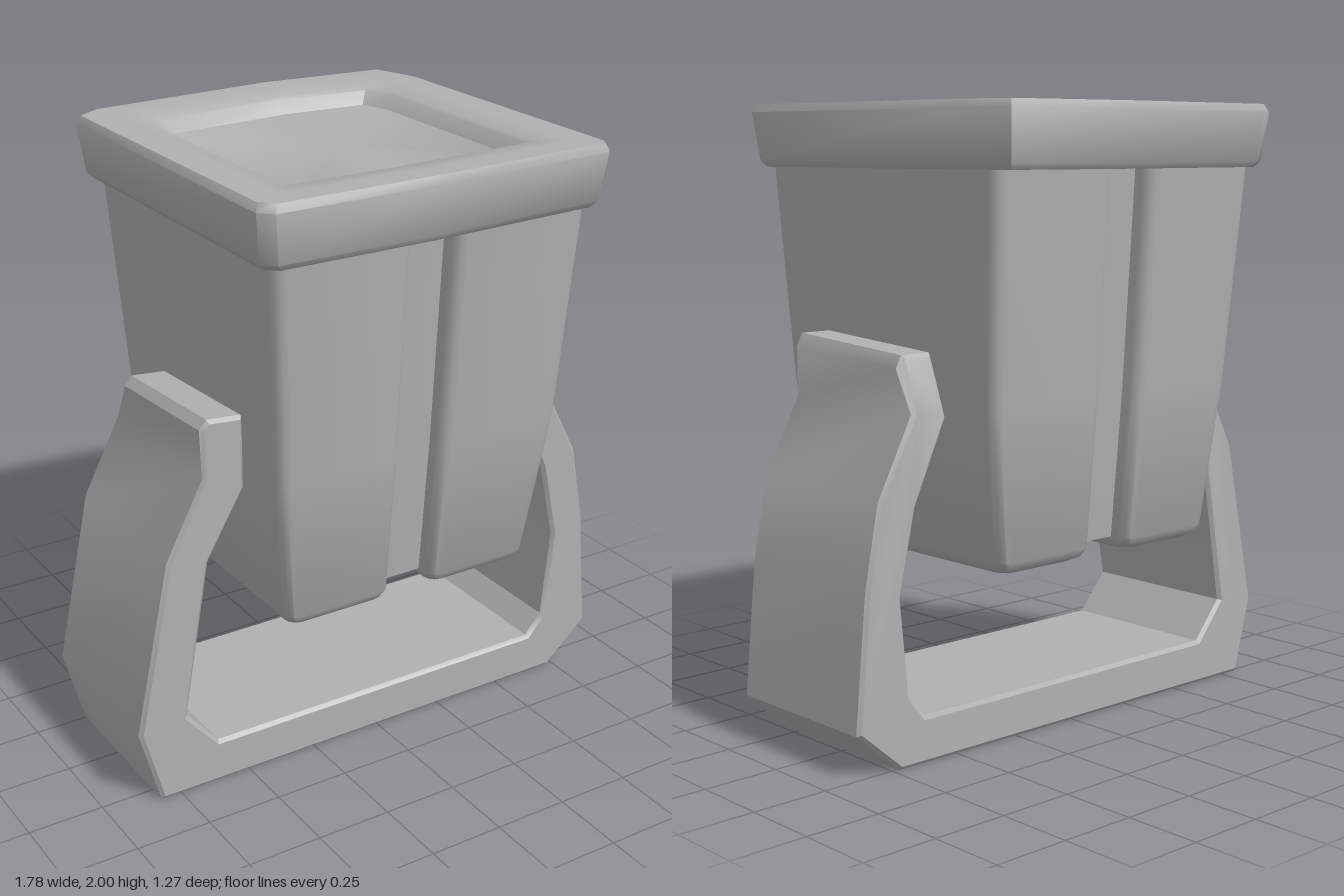
import * as THREE from 'three';
import { toCreasedNormals } from 'three/addons/utils/BufferGeometryUtils.js';

const grey = new THREE.MeshStandardMaterial({ color: 0xb0b0b0 });
grey.name = 'grey';

// Skin a stack of closed rings (bottom to top) and cap both ends
function loft(name, rings, crease = 0.7) {
  const pos = [];
  const tri = (...pts) => pts.forEach((p) => pos.push(...p));
  const n = rings[0].length;
  const centre = (r) => [0, 1, 2].map((k) => r.reduce((s, p) => s + p[k], 0) / n);
  const first = rings[0], last = rings[rings.length - 1];
  const c0 = centre(first), c1 = centre(last);
  for (let i = 0; i < n; i++) {
    const j = (i + 1) % n;
    for (let k = 0; k + 1 < rings.length; k++) {
      const a = rings[k], b = rings[k + 1];
      tri(a[i], b[i], a[j]);
      tri(a[j], b[i], b[j]);
    }
    tri(first[i], first[j], c0);
    tri(last[j], last[i], c1);
  }
  const geo = new THREE.BufferGeometry();
  geo.setAttribute('position', new THREE.Float32BufferAttribute(pos, 3));
  const mesh = new THREE.Mesh(toCreasedNormals(geo, crease), grey);
  mesh.name = name;
  return mesh;
}

// Horizontal rectangle with rounded corners
function roundedRing(y, x0, x1, z0, z1, r) {
  const corners = [[x0 + r, z0 + r, 2], [x1 - r, z0 + r, 3], [x1 - r, z1 - r, 0], [x0 + r, z1 - r, 1]];
  const ring = [];
  for (const [cx, cz, q] of corners) {
    for (let s = 0; s <= 3; s++) {
      const t = (q + s / 3) * Math.PI / 2;
      ring.push([cx + r * Math.cos(t), y, cz + r * Math.sin(t)]);
    }
  }
  return ring;
}

export function createModel() {
  const model = new THREE.Group();
  model.name = 'bucketOnBracket';

  // Two tapered halves, leaving a groove down the front, back and underside
  const levels = [
    // y, left, right, back, front, inset
    [0.58, -0.44, 0.46, -0.43, 0.48, 0.035],
    [0.592, -0.44, 0.46, -0.43, 0.48, 0.012],
    [0.62, -0.445, 0.465, -0.435, 0.485, 0],
    [1.1, -0.495, 0.535, -0.48, 0.53, 0],
    [1.82, -0.54, 0.57, -0.53, 0.58, 0],
  ];
  model.add(loft('leftHalf', levels.map(([y, l, r, b, f, i]) =>
    roundedRing(y, 0.085 + i, r - i, b + i, f - i, 0.04))));
  model.add(loft('rightHalf', levels.map(([y, l, r, b, f, i]) =>
    roundedRing(y, l + i, -0.07 - i, b + i, f - i, 0.04))));

  // Recessed core behind the grooves
  model.add(loft('grooveCore', [
    roundedRing(0.62, -0.12, 0.13, -0.365, 0.415, 0.01),
    roundedRing(1.1, -0.12, 0.13, -0.41, 0.46, 0.01),
    roundedRing(1.82, -0.12, 0.13, -0.46, 0.51, 0.01),
  ]));

  // Lid with uneven plan, soft rim and sunken top
  const plan = [[-0.6, -0.55], [-0.52, -0.6], [0.14, -0.64], [0.58, -0.6], [0.63, -0.44],
    [0.63, 0.59], [0.61, 0.615], [0, 0.635], [-0.56, 0.63], [-0.6, 0.59]];
  const lidLevels = [[1.8, 0.945], [1.82, 0.97], [1.975, 1], [2, 0.98], [2, 0.85],
    [1.99, 0.72], [1.98, 0.7], [1.94, 0.65]];
  model.add(loft('lid', lidLevels.map(([y, s]) =>
    plan.map(([x, z]) => [0.015 + (x - 0.015) * s, y, z * s])), 0.8));

  // Bent bracket with a flat base and two arms
  const outline = [[-0.82, 0], [0.73, 0], [0.89, 0.14], [0.85, 0.57], [0.8, 0.83], [0.67, 1.08],
    [0.67, 1.24], [0.65, 1.28], [0.54, 1.28], [0.54, 1.06], [0.66, 0.8], [0.72, 0.53],
    [0.69, 0.22], [0.63, 0.15], [-0.61, 0.15], [-0.72, 0.28], [-0.63, 0.8], [-0.5, 1.02],
    [-0.5, 1.26], [-0.62, 1.27], [-0.645, 1.24], [-0.64, 1.08], [-0.77, 0.83], [-0.89, 0.26]];
  const geo = new THREE.ExtrudeGeometry(
    new THREE.Shape(outline.map(([x, y]) => new THREE.Vector2(x, y))),
    { depth: 0.566, steps: 1, bevelEnabled: true, bevelSize: 0.012, bevelThickness: 0.012, bevelOffset: -0.012, bevelSegments: 1 });
  geo.translate(0, 0, -0.258);
  // Clip the rear top corner of each arm
  const p = geo.attributes.position;
  for (let i = 0; i < p.count; i++) {
    if (p.getY(i) > 1.2 && p.getZ(i) < 0) {
      p.setZ(i, p.getZ(i) + 0.07);
      p.setY(i, p.getY(i) - 0.03);
    }
  }
  const bracket = new THREE.Mesh(toCreasedNormals(geo, 0.6), grey);
  bracket.name = 'bracket';
  model.add(bracket);

  return model;
}
